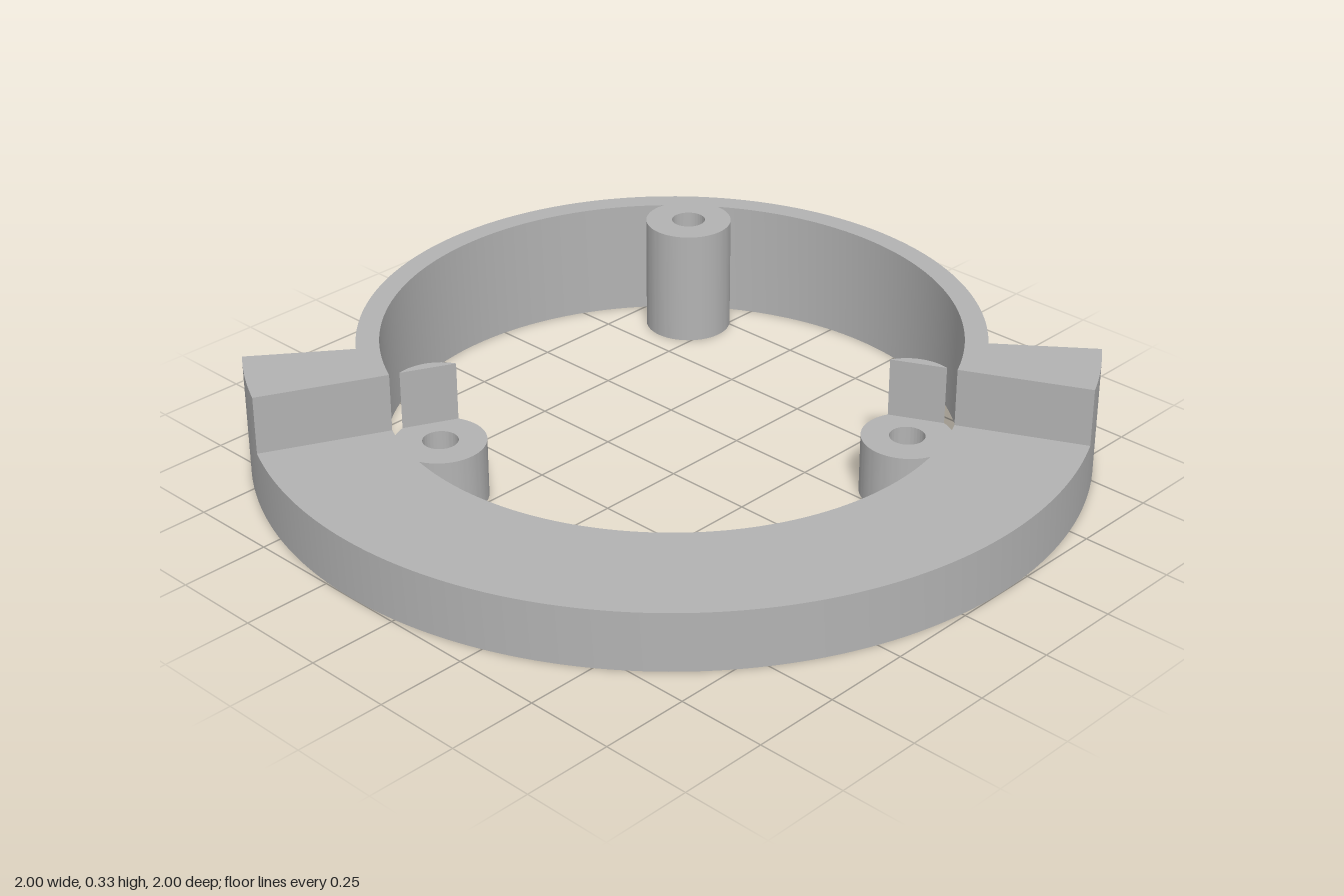
import * as THREE from 'three';
import { toCreasedNormals } from 'three/addons/utils/BufferGeometryUtils.js';

const INNER = 0.787, WALL = 0.85, FLANGE = 1.15;
const LOW = 0.167, TALL = 0.333;
const BOSS = 0.123, HOLE = 0.048;
const rad = THREE.MathUtils.degToRad;

// Extrude a plan drawn in (x, z) upward from y0 to y1
function prism(shape, y0, y1) {
  const geo = new THREE.ExtrudeGeometry(shape, { depth: y1 - y0, bevelEnabled: false, curveSegments: 48 });
  geo.rotateX(Math.PI / 2).translate(0, y1, 0);
  return toCreasedNormals(geo, rad(25));
}

// Plan of a ring sector: outer arcs [radius, from, to], closed by the inner arc
function sector(arcs) {
  const shape = new THREE.Shape();
  for (const [r, a, b] of arcs) shape.absarc(0, 0, r, rad(a), rad(b), false);
  shape.absarc(0, 0, INNER, rad(arcs[arcs.length - 1][2]), rad(arcs[0][1]), true);
  shape.closePath();
  return shape;
}

export function createModel() {
  const model = new THREE.Group();
  const grey = new THREE.MeshStandardMaterial({ color: 0xb3b3b3 });
  grey.name = 'plainGrey';

  const ring = new THREE.Group();
  ring.name = 'ring';
  ring.position.set(-0.15, 0, -0.15);
  model.add(ring);

  const add = (name, shape, y0, y1) => {
    const mesh = new THREE.Mesh(prism(shape, y0, y1), grey);
    mesh.name = name;
    ring.add(mesh);
  };

  // Wide low flange, and the tall thin wall with a wide block at each end
  add('lowFlange', sector([[FLANGE, -26, 116]]), 0, LOW);
  add('tallWall', sector([[FLANGE, 116, 127.7], [WALL, 127.7, 322.3], [FLANGE, 322.3, 334]]), 0, TALL);

  // Screw bosses with through holes
  const bosses = [
    { name: 'backBoss', x: -0.442, z: -0.528, top: TALL },
    { name: 'leftBoss', x: 0.654, z: -0.214, top: LOW, facing: -116 },
    { name: 'frontBoss', x: -0.214, z: 0.654, top: LOW, facing: 206 },
  ];
  for (const { name, x, z, top, facing } of bosses) {
    const plan = new THREE.Shape().absarc(x, z, BOSS, 0, Math.PI * 2, false);
    plan.holes.push(new THREE.Path().absarc(x, z, HOLE, 0, Math.PI * 2, true));
    add(name, plan, 0, top);
    if (facing === undefined) continue;

    // Thin tall sliver left where the step cuts through the boss
    const half = Math.acos(0.096 / BOSS);
    const sliver = new THREE.Shape().absarc(x, z, BOSS, rad(facing) - half, rad(facing) + half, false);
    sliver.closePath();
    add(name + 'Sliver', sliver, LOW, TALL);
  }
  return model;
}
